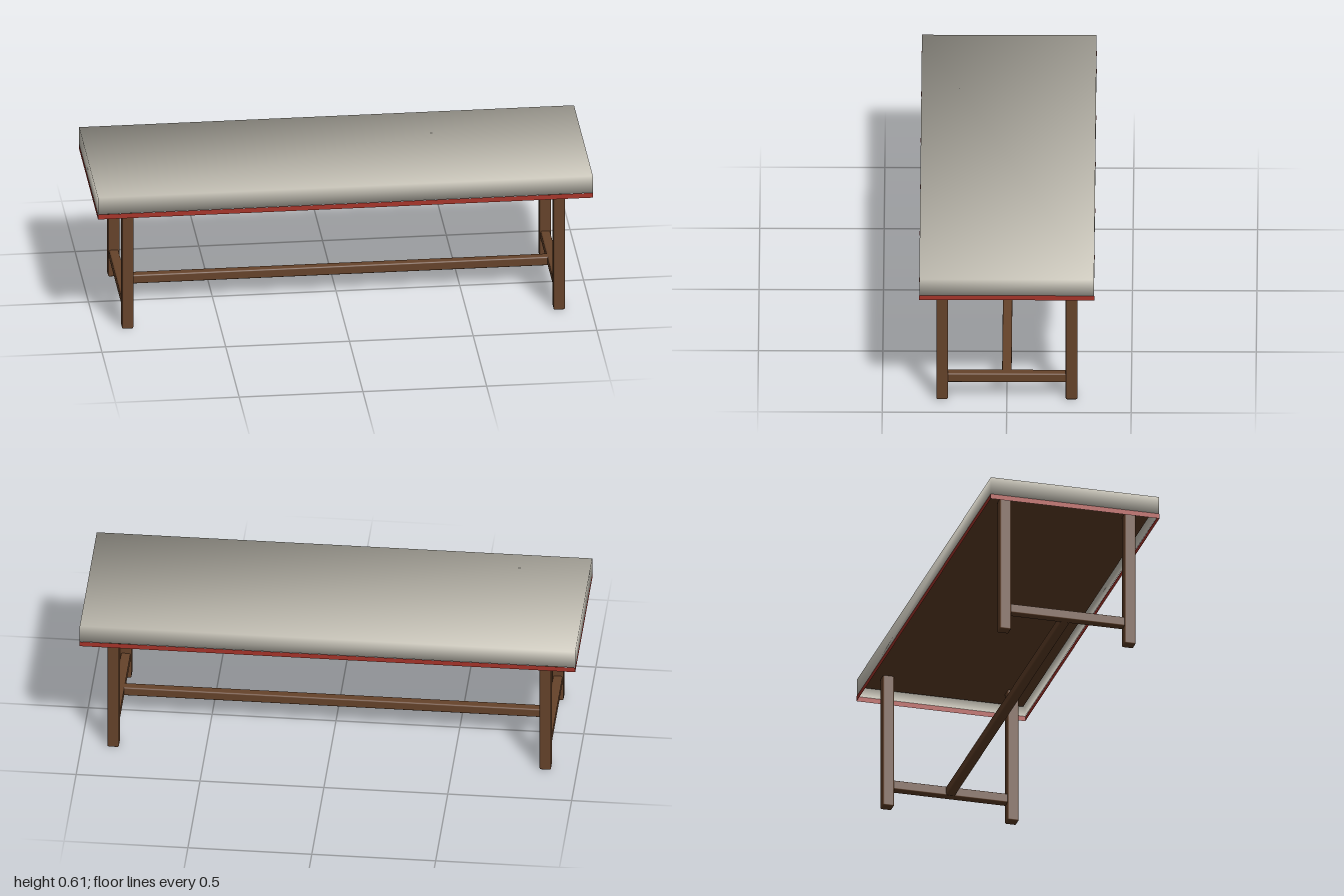
import * as THREE from 'three';
import { RoundedBoxGeometry } from 'three/addons/geometries/RoundedBoxGeometry.js';

const wood = new THREE.MeshStandardMaterial({ color: 0x66432a });
const red = new THREE.MeshStandardMaterial({ color: 0xa8352a, side: THREE.DoubleSide });
const fabric = new THREE.MeshStandardMaterial({ color: 0xcfcbbf, side: THREE.DoubleSide });

export function createModel() {
  const bench = new THREE.Group();
  bench.name = 'bench';

  function add(name, geometry, material, x, y, z) {
    const mesh = new THREE.Mesh(geometry, material);
    mesh.name = name;
    mesh.position.set(x, y, z);
    bench.add(mesh);
    return mesh;
  }

  // Rectangular bar with softened edges
  const bar = (w, h, d) => new RoundedBoxGeometry(w, h, d, 2, 0.006);

  // Box without its bottom (and optionally its top)
  function openBox(w, h, d, keepTop) {
    const geometry = new THREE.BoxGeometry(w, h, d);
    const kept = geometry.groups.filter(g => g.materialIndex !== 3 && (keepTop || g.materialIndex !== 2));
    const index = Array.from(geometry.index.array);
    geometry.setIndex(kept.flatMap(g => index.slice(g.start, g.start + g.count)));
    geometry.clearGroups();
    return geometry;
  }

  // Cushion: hollow underneath, corner normals shared for soft shading
  const cushionShape = openBox(2, 0.074, 0.702, true);
  const pos = cushionShape.attributes.position;
  for (let i = 0; i < pos.count; i++) {
    const n = new THREE.Vector3(Math.sign(pos.getX(i)), Math.sign(pos.getY(i)), Math.sign(pos.getZ(i))).normalize();
    cushionShape.attributes.normal.setXYZ(i, n.x, n.y, n.z);
  }
  add('cushion', cushionShape, fabric, 0, 0.576, 0);

  // Piping band around the lower edge
  add('piping', openBox(2, 0.021, 0.704, false), red, 0, 0.5285, 0);

  // Wooden board recessed inside the cushion
  add('seatBoard', new THREE.BoxGeometry(1.976, 0.02, 0.68), wood, 0, 0.585, 0);

  // Legs and the stretcher joining each end pair
  for (const x of [-0.872, 0.872]) {
    for (const z of [-0.26, 0.26]) add('leg', bar(0.046, 0.577, 0.047), wood, x, 0.2885, z);
    add('endStretcher', bar(0.038, 0.04, 0.5), wood, x, 0.097, 0);
  }

  // Long stretcher between the ends
  add('longStretcher', bar(1.74, 0.038, 0.038), wood, 0, 0.098, 0);

  return bench;
}
